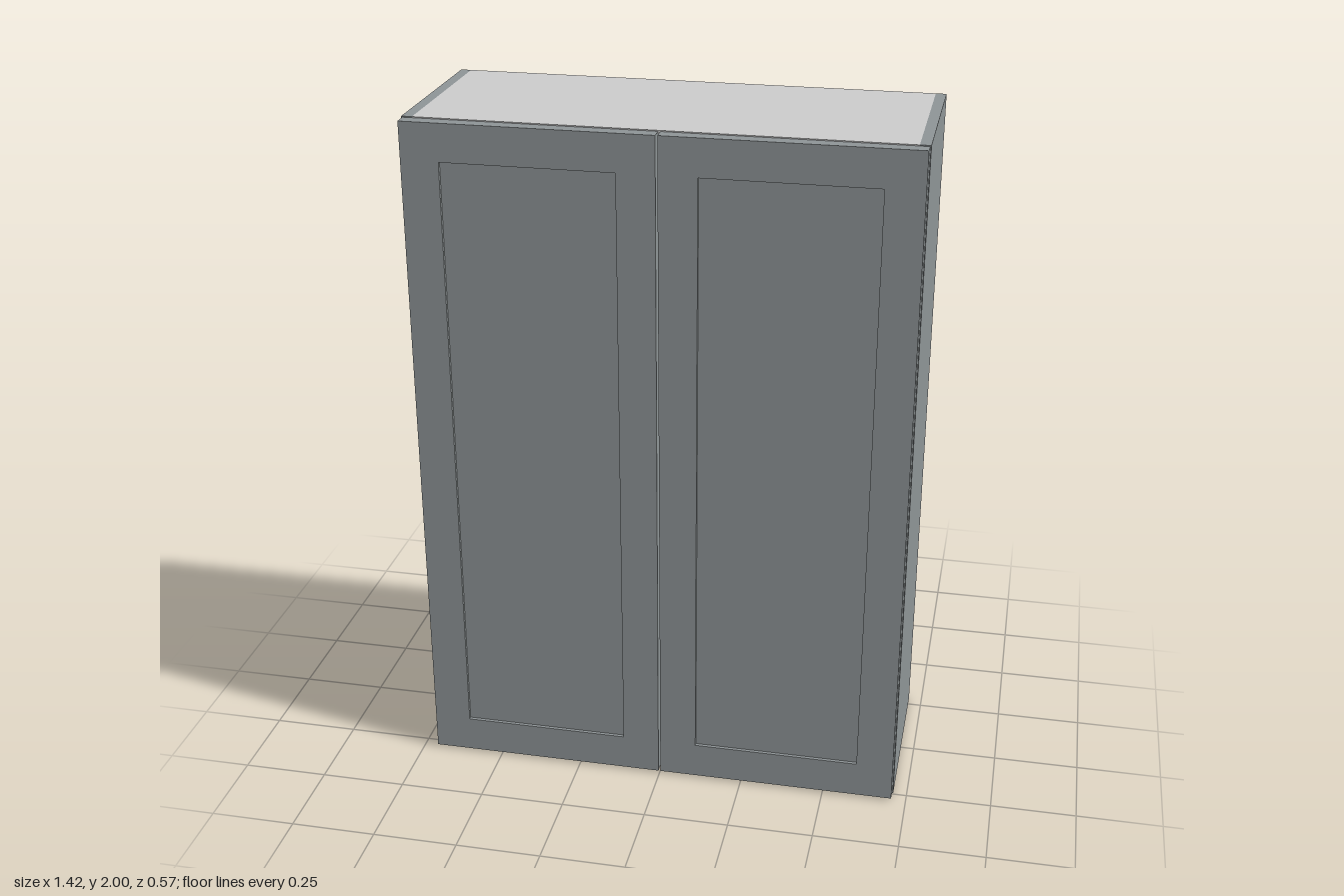
import * as THREE from 'three';

const painted = new THREE.MeshStandardMaterial({ color: 0x8e9496 });
const plain = new THREE.MeshStandardMaterial({ color: 0xcccccc });

// Box given by its minimum and maximum corners
function panel(name, [x0, y0, z0], [x1, y1, z1], material) {
  const mesh = new THREE.Mesh(new THREE.BoxGeometry(x1 - x0, y1 - y0, z1 - z0), material);
  mesh.position.set((x0 + x1) / 2, (y0 + y1) / 2, (z0 + z1) / 2);
  mesh.name = name;
  return mesh;
}

function rectangle(path, x0, y0, x1, y1) {
  return path.moveTo(x0, y0).lineTo(x1, y0).lineTo(x1, y1).lineTo(x0, y1).closePath();
}

export function createModel() {
  const W = 0.71, T = 0.03, BACK = -0.285, FACE = 0.246, FRONT = 0.285;
  const inner = W - T;
  const model = new THREE.Group();
  model.name = 'wallCabinet';

  // Carcass: top, bottom and back sit between the two sides
  model.add(
    panel('topPanel', [-inner, 2 - T, BACK], [inner, 2, FACE], plain),
    panel('bottomPanel', [-inner, 0, BACK], [inner, T, FACE], plain),
    panel('backPanel', [-inner, T, BACK], [inner, 2 - T, BACK + 0.015], plain),
  );

  for (const [label, s] of [['left', 1], ['right', -1]]) {
    const c = s * (W - T / 2);
    model.add(panel(label + 'Side', [c - T / 2, 0, BACK], [c + T / 2, 2, FACE], painted));

    // Door: a frame around a slightly recessed panel
    const x0 = 0.003, x1 = 0.707, y0 = 0.008, y1 = 1.997, rail = 0.108;
    const cx = (x0 + x1) / 2, hw = (x1 - x0) / 2;
    const door = new THREE.Group();
    door.name = label + 'Door';
    door.position.x = s * cx;

    const outline = rectangle(new THREE.Shape(), -hw, y0, hw, y1);
    outline.holes.push(rectangle(new THREE.Path(), -hw + rail, y0 + rail, hw - rail, y1 - rail));
    const frame = new THREE.Mesh(
      new THREE.ExtrudeGeometry(outline, { depth: FRONT - FACE, bevelEnabled: false }), painted);
    frame.position.z = FACE;
    frame.name = label + 'DoorFrame';

    door.add(frame, panel(label + 'DoorPanel',
      [-hw + rail, y0 + rail, FACE + 0.008], [hw - rail, y1 - rail, FRONT - 0.01], painted));
    model.add(door);
  }
  return model;
}
